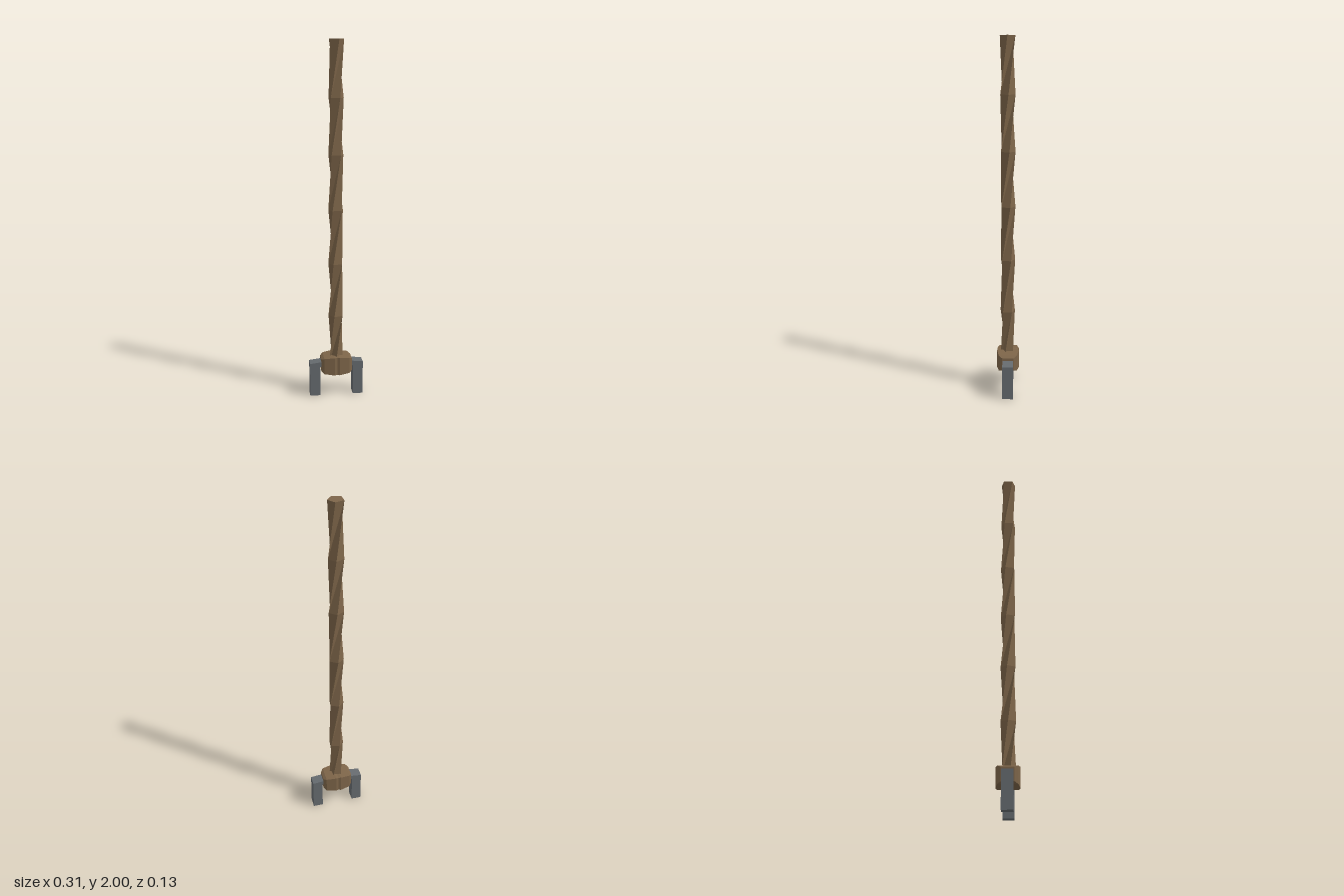
import * as THREE from 'three';

const wood = new THREE.MeshStandardMaterial({ color: 0x7d6549, flatShading: true });
wood.name = 'wood brown';
const iron = new THREE.MeshStandardMaterial({ color: 0x666b6f, flatShading: true });
iron.name = 'iron grey';

// Closed low-poly skin through rings of equal point count, listed counter-clockwise about the axis
function loft(rings) {
  const n = rings[0].length;
  const last = (rings.length - 1) * n;
  const index = [];
  for (let r = 0; r < last; r += n) {
    for (let i = 0; i < n; i++) {
      const j = (i + 1) % n;
      index.push(r + i, r + j, r + n + j, r + i, r + n + j, r + n + i);
    }
  }
  for (let i = 1; i < n - 1; i++) {
    index.push(0, i + 1, i, last, last + i, last + i + 1);
  }
  const geometry = new THREE.BufferGeometry();
  geometry.setAttribute('position', new THREE.Float32BufferAttribute(rings.flat(2), 3));
  geometry.setIndex(index);
  const flat = geometry.toNonIndexed();
  flat.computeVertexNormals();
  return flat;
}

function add(group, name, geometry, material) {
  const mesh = new THREE.Mesh(geometry, material);
  mesh.name = name;
  group.add(mesh);
  return mesh;
}

export function createModel() {
  const model = new THREE.Group();
  model.name = 'twoProngedStaff';

  // Five-sided pole, twisted between evenly spaced rings
  const segments = 6, bottom = 0.173, top = 2, radius = 0.043;
  const poleRings = [];
  for (let s = 0; s <= segments; s++) {
    const y = bottom + (top - bottom) * s / segments;
    const ring = [];
    for (let i = 0; i < 5; i++) {
      const a = THREE.MathUtils.degToRad(18 + 72 * i - 65 * (segments - s));
      ring.push([radius * Math.sin(a), y, radius * Math.cos(a)]);
    }
    poleRings.push(ring);
  }
  add(model, 'twistedPole', loft(poleRings), wood);

  // Mallet-shaped hub with a groove around its middle: x, half height, half depth
  const half = [[0.088, 0.036, 0.034], [0.073, 0.046, 0.052], [0.014, 0.053, 0.063]];
  const sections = [
    ...half.map(([x, h, d]) => [-x, h, d]),
    [0, 0.051, 0.058],
    ...half.slice().reverse(),
  ];
  const corners = [[1, -1], [1, 1], [-1, 1], [-1, -1]];
  const hubRings = sections.map(([x, h, d]) => corners.map(([sy, sz]) => [x, sy * h, sz * d]));
  add(model, 'hub', loft(hubRings), wood).position.set(0, 0.185, -0.002);

  // Bent iron prongs, mirrored on both sides
  for (const [side, name] of [[1, 'leftProng'], [-1, 'rightProng']]) {
    const outline = [[0.06, 0.207], [0.06, 0.175], [0.095, 0.175], [0.095, 0], [0.153, 0], [0.153, 0.196]];
    const shape = new THREE.Shape(outline.map(([x, y]) => new THREE.Vector2(side * x, y)));
    const geometry = new THREE.ExtrudeGeometry(shape, { depth: 0.061, bevelEnabled: false });
    add(model, name, geometry, iron).position.z = -0.033;
  }

  return model;
}
